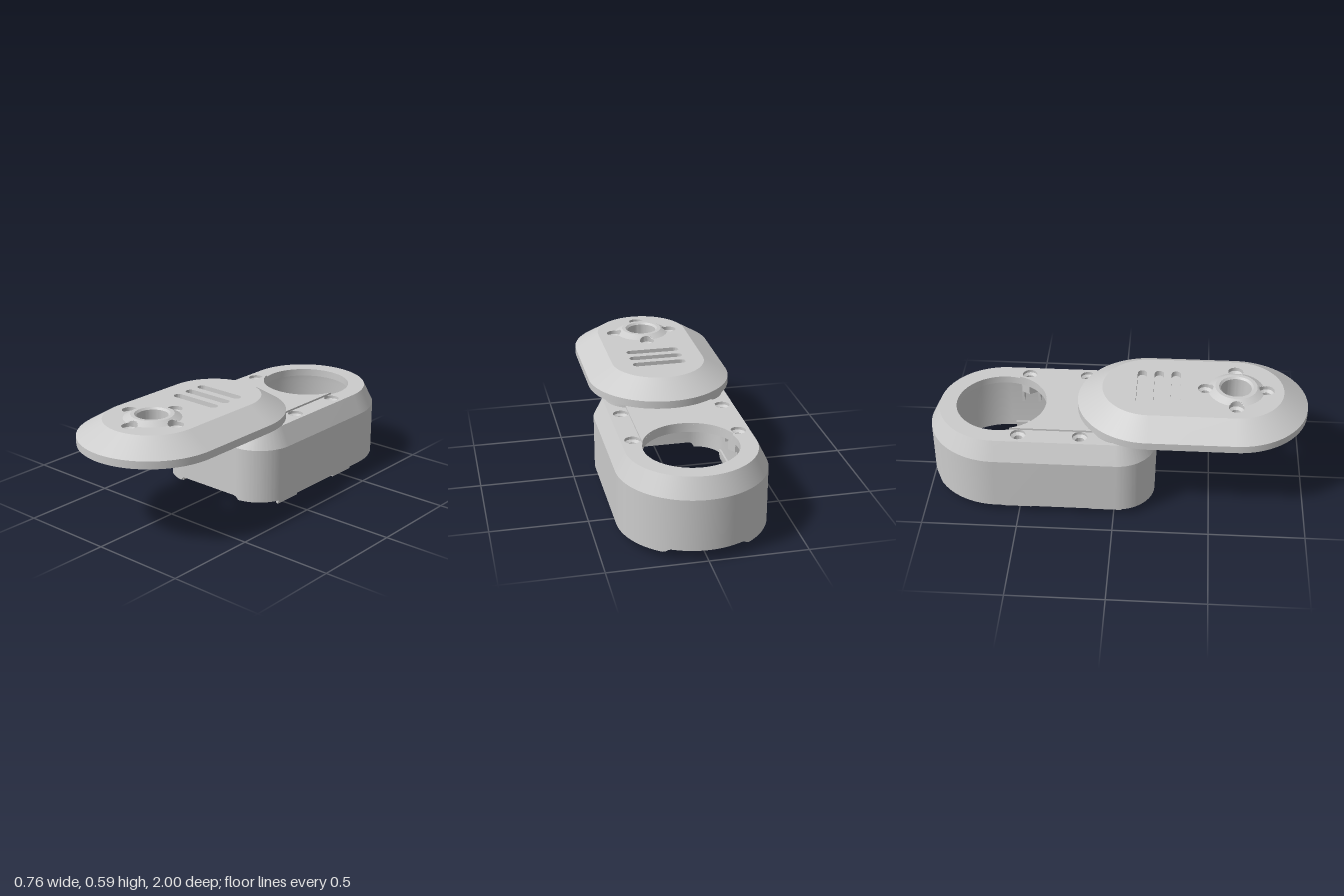
import * as THREE from 'three';
import { mergeGeometries, toCreasedNormals } from 'three/addons/utils/BufferGeometryUtils.js';

const V = (x, y) => new THREE.Vector2(x, y);

// Rounded plan outline in (x, z): back corner radius rb, front corner radius rf.
function outline(hw, z0, z1, rb, rf, inset = 0, n = 32) {
  const pts = [];
  const corners = [[hw - rf, z1 - rf, rf], [rf - hw, z1 - rf, rf], [rb - hw, z0 + rb, rb], [hw - rb, z0 + rb, rb]];
  corners.forEach(([cx, cz, r], k) => {
    for (let j = 0; j <= n; j++) {
      const a = (k + j / n) * Math.PI / 2;
      pts.push(V(cx + (r - inset) * Math.cos(a), cz + (r - inset) * Math.sin(a)));
    }
    // Subdivide the straight front edge so it can carry a notch.
    if (k === 0) for (let j = 1; j < n; j++) pts.push(V(cx * (1 - 2 * j / n), z1 - inset));
  });
  return pts.filter((p, i) => p.distanceTo(pts[(i + 1) % pts.length]) > 1e-6);
}

function circle(cx, cz, r, n = 32) {
  return Array.from({ length: n }, (_, i) => {
    const a = i / n * Math.PI * 2;
    return V(cx + r * Math.cos(a), cz + r * Math.sin(a));
  });
}

// Skin a list of [outline, y]; y may depend on x. Rising rings face outwards.
function loft(rings) {
  const pos = [];
  const at = ([pts, y], i) => {
    const p = pts[i % pts.length];
    return [p.x, typeof y === 'function' ? y(p.x) : y, p.y];
  };
  for (let k = 0; k + 1 < rings.length; k++) {
    for (let i = 0; i < rings[k][0].length; i++) {
      const a = at(rings[k], i), b = at(rings[k], i + 1), c = at(rings[k + 1], i), d = at(rings[k + 1], i + 1);
      pos.push(...a, ...c, ...b, ...b, ...c, ...d);
    }
  }
  return new THREE.BufferGeometry().setAttribute('position', new THREE.Float32BufferAttribute(pos, 3));
}

// Flat face at height y with holes, facing up or down.
function cap(pts, holes, y, up) {
  const s = up ? -1 : 1;
  const flip = list => list.map(p => V(p.x, s * p.y));
  const shape = new THREE.Shape(flip(pts));
  shape.holes = holes.map(h => new THREE.Path(flip(h)));
  return new THREE.ShapeGeometry(shape).rotateX(s * Math.PI / 2).translate(0, y, 0);
}

const hole = (x, z, steps, n) => loft(steps.map(([r, y]) => [circle(x, z, r, n), y]));
const block = (pts, y0, y1) => [loft([[pts, y0], [pts, y1]]), cap(pts, [], y1, true), cap(pts, [], y0, false)];

const material = new THREE.MeshStandardMaterial({ color: 0xcccccc });
function part(name, geometries) {
  const plain = geometries.map(g => {
    const p = g.index ? g.toNonIndexed() : g;
    p.deleteAttribute('uv');
    p.deleteAttribute('normal');
    return p;
  });
  const mesh = new THREE.Mesh(toCreasedNormals(mergeGeometries(plain), 0.45), material);
  mesh.name = name;
  return mesh;
}

const SIDES = [1, -1];
const BODY_HOLE = { z: -0.62, r: 0.24 };
const BODY_SCREWS = SIDES.flatMap(s => [[s * 0.27, -0.5], [s * 0.27, -0.18]]);

function housing() {
  const o = inset => outline(0.38, -1, 0.21, 0.38, 0.2, inset, 40);
  // Bottom edge rises into a rounded notch at front and back.
  const rim = base => x => {
    const t = (Math.abs(x) - 0.17) / 0.03;
    if (t <= 0) return 0.06;
    return t >= 1 ? base : base + (0.06 - base) * Math.sqrt(1 - t * t);
  };
  const big = r => circle(0, BODY_HOLE.z, r, 80);
  const screws = r => BODY_SCREWS.map(([x, z]) => circle(x, z, r));
  return part('housing', [
    // cavity, stepped bottom rim, outer wall and chamfer in one skin
    loft([[o(0.06), 0.39], [o(0.05), 0.33], [o(0.05), rim(0.033)], [o(0.015), rim(0.033)],
      [o(0.015), rim(0.04)], [o(0), rim(0.04)], [o(0), 0.33], [o(0.05), 0.43]]),
    cap(o(0.05), [big(BODY_HOLE.r), ...screws(0.04)], 0.43, true),
    cap(o(0.06), [big(BODY_HOLE.r), ...screws(0.024)], 0.39, false),
    hole(0, BODY_HOLE.z, [[BODY_HOLE.r, 0.43], [BODY_HOLE.r, 0.39]], 80),
    ...BODY_SCREWS.map(([x, z]) => hole(x, z, [[0.04, 0.43], [0.04, 0.415], [0.024, 0.405], [0.024, 0.33]])),
  ]);
}

// Hexagonal bosses and hanging ribs under the housing screws.
function screwBosses() {
  return part('screwBosses', BODY_SCREWS.flatMap(([x, z]) => {
    const hex = circle(x, z, 0.05, 6);
    const ribs = SIDES.map(s => new THREE.BoxGeometry(0.055, 0.15, 0.014)
      .translate(Math.sign(x) * 0.305, 0.315, z + s * 0.045));
    return [loft([[hex, 0.33], [hex, 0.39]]), cap(hex, [circle(x, z, 0.024)], 0.33, false), ...ribs];
  }));
}

// Thin raised strip that stops at the round opening.
function raisedStrip() {
  const a0 = Math.acos(0.23 / BODY_HOLE.r), pts = [V(0.23, 0), V(-0.23, 0)];
  for (let i = 0; i <= 40; i++) {
    const a = Math.PI - a0 - (Math.PI - 2 * a0) * i / 40;
    pts.push(V(BODY_HOLE.r * Math.cos(a), BODY_HOLE.z + BODY_HOLE.r * Math.sin(a)));
  }
  return part('raisedStrip', block(pts, 0.43, 0.44));
}

// Concave neck blending the housing front into the lid.
function neck() {
  const rings = [[outline(0.2, 0.165, 0.21, 0.004, 0.038), 0.33]];
  for (let i = 0; i <= 12; i++) {
    const a = i / 12 * Math.PI / 2;
    rings.push([outline(0.2, 0.165, 0.3 - 0.09 * Math.cos(a), 0.004, 0.038), 0.36 + 0.09 * Math.sin(a)]);
  }
  return part('neck', [loft(rings), cap(rings[0][0], [], 0.33, false)]);
}

function clips() {
  const shape = new THREE.Shape([V(0.32, 0.06), V(0.32, 0.03), V(0.325, 0.003), V(0.328, 0),
    V(0.338, 0), V(0.34, 0.03), V(0.345, 0.036), V(0.345, 0.06)]);
  return part('clips', SIDES.flatMap(s => [-0.04, -0.52].map(z =>
    new THREE.ExtrudeGeometry(shape, { depth: 0.16, bevelEnabled: false })
      .translate(0, 0, -0.08).rotateY(s > 0 ? 0 : Math.PI).translate(0, 0, z))));
}

const PORT_Z = 0.62;
const LID_SCREWS = [[0.16, 0], [0, 0.16], [-0.16, 0], [0, -0.16]].map(([x, z]) => [x, PORT_Z + z]);

function lid() {
  const o = inset => outline(0.38, -0.21, 1, 0.38, 0.38, inset);
  const slots = [0.125, 0.215, 0.305].map(z => outline(0.145, z - 0.025, z + 0.025, 0.025, 0.025, 0, 12));
  const screws = r => LID_SCREWS.map(([x, z]) => circle(x, z, r));
  return part('lid', [
    loft([[o(0), 0.45], [o(0), 0.49], [o(0.13), 0.57]]),
    cap(o(0.13), [circle(0, PORT_Z, 0.08, 64), ...screws(0.04), ...slots], 0.57, true),
    cap(o(0), [circle(0, PORT_Z, 0.08, 64), ...screws(0.024)], 0.45, false),
    hole(0, PORT_Z, [[0.08, 0.57], [0.08, 0.45]], 64),
    ...LID_SCREWS.map(([x, z]) => hole(x, z, [[0.04, 0.57], [0.04, 0.55], [0.024, 0.54], [0.024, 0.45]])),
    // blind vent grooves
    ...slots.flatMap(s => [loft([[s, 0.57], [s, 0.54]]), cap(s, [], 0.54, true)]),
  ]);
}

// Conical collar round the port, scooped where the screws sit.
function portCollar() {
  const ring = R => circle(0, 0, 1, 144).map(p => {
    const c = Math.max(Math.abs(p.x), Math.abs(p.y)), s = Math.min(Math.abs(p.x), Math.abs(p.y));
    const d = 0.04 ** 2 - (0.16 * s) ** 2;
    const r = d > 0 ? Math.min(R, 0.16 * c - Math.sqrt(d)) : R;
    return V(p.x * r, PORT_Z + p.y * r);
  });
  const rings = Array.from({ length: 7 }, (_, i) => [ring(0.147 - 0.037 * i / 6), 0.57 + 0.02 * i / 6]);
  return part('portCollar', [
    loft(rings),
    cap(rings[6][0], [circle(0, PORT_Z, 0.09, 64)], 0.59, true),
    hole(0, PORT_Z, [[0.09, 0.59], [0.08, 0.58], [0.08, 0.57]], 64),
  ]);
}

export function createModel() {
  const model = new THREE.Group();
  model.name = 'swivelLidHousing';
  const pivot = part('pivotBlock', block(outline(0.315, -0.12, 0.17, 0.14, 0.1), 0.43, 0.45));
  model.add(housing(), screwBosses(), raisedStrip(), neck(), clips(), pivot, lid(), portCollar());
  return model;
}
